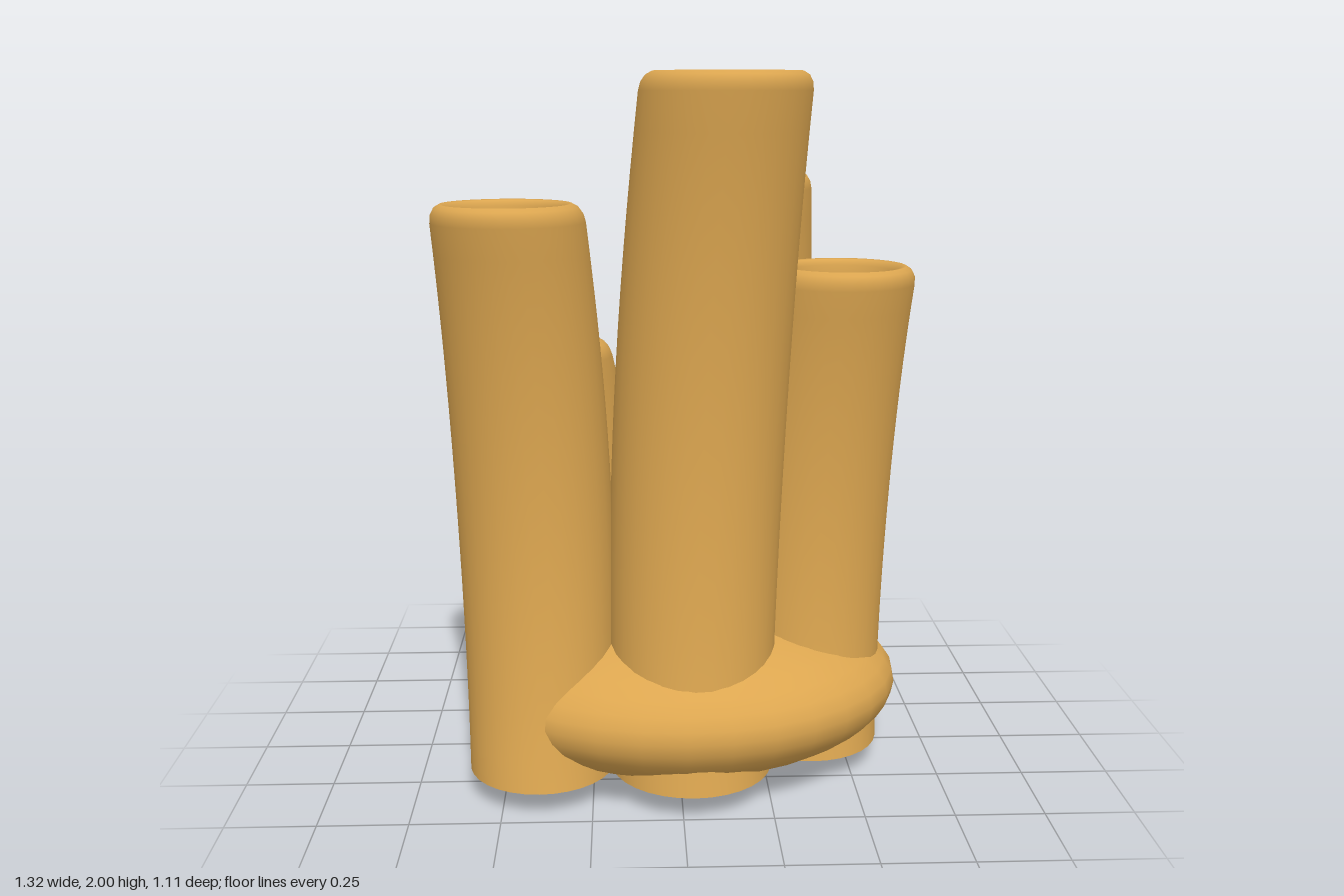
import * as THREE from 'three';
import { mergeVertices } from 'three/addons/utils/BufferGeometryUtils.js';

const FLOOR = 0.07; // height of the flat tube bottoms

// Each tube: height, radius, and its centre [x, z] at bottom, middle and top
const TUBES = [
  { name: 'frontTallTube', top: 2.0, r: 0.228, path: [[0.03, 0.285], [0.055, 0.185], [0.12, 0.29]] },
  { name: 'frontRightTube', top: 1.66, r: 0.206, path: [[-0.395, 0.27], [-0.412, 0.17], [-0.462, 0.27]] },
  { name: 'backLeftTube', top: 1.715, r: 0.2, path: [[0.23, -0.245], [0.226, -0.342], [0.21, -0.247]] },
  { name: 'sideLeftTube', top: 1.475, r: 0.209, path: [[0.38, 0.09], [0.397, 0.02], [0.457, 0.105]] },
  { name: 'backRightTube', top: 1.21, r: 0.186, path: [[-0.295, -0.24], [-0.31, -0.325], [-0.385, -0.245]] },
];

// Centre of a bent tube: a parabola through its three path points
function centreAt(path, t) {
  const a = 2 * (t - 0.5) * (t - 1), b = 4 * t * (1 - t), c = 2 * t * (t - 0.5);
  return [0, 1].map((k) => a * path[0][k] + b * path[1][k] + c * path[2][k]);
}

// Lathe a profile, then shift every level sideways along the bent path
function bentLathe(profile, tube) {
  let geo = new THREE.LatheGeometry(profile.map(([r, y]) => new THREE.Vector2(r, y)), 32);
  const pos = geo.attributes.position;
  for (let i = 0; i < pos.count; i++) {
    const t = (pos.getY(i) - FLOOR) / (tube.top - FLOOR);
    const [x, z] = centreAt(tube.path, t);
    pos.setX(i, pos.getX(i) + x);
    pos.setZ(i, pos.getZ(i) + z);
  }
  geo.deleteAttribute('normal');
  geo.deleteAttribute('uv');
  geo = mergeVertices(geo);
  geo.computeVertexNormals();
  return geo;
}

function makeTube(tube, skin, inside) {
  const { top, r } = tube;
  const length = top - FLOOR;
  const group = new THREE.Group();
  group.name = tube.name;
  const add = (name, profile, material) => {
    const mesh = new THREE.Mesh(bentLathe(profile, tube), material);
    mesh.name = name;
    group.add(mesh);
  };

  // Outer wall, slightly fuller in the middle, rolling over the rounded lip
  const wall = [];
  const steps = 18, shoulder = top - 0.05;
  for (let i = 0; i <= steps; i++) {
    const t = i / steps;
    wall.push([r * (1 + 0.06 * Math.sin(Math.PI * t)), FLOOR + t * (shoulder - FLOOR)]);
  }
  const throat = [0.67 * r, top - 0.06];
  wall.push([r - 0.004, top - 0.028], [r - 0.015, top - 0.01], [r - 0.032, top],
    [0.79 * r, top - 0.002], [0.72 * r, top - 0.018], throat);
  add('outerWall', wall, skin);

  // Flat underside
  add('bottomCap', [[0, FLOOR], [r, FLOOR]], skin);

  // Dark bore with its floor
  const bore = [];
  const boreFloor = FLOOR + 0.24 * length;
  for (let i = 0; i <= 12; i++) {
    bore.push([throat[0], throat[1] + (boreFloor - throat[1]) * i / 12]);
  }
  add('bore', bore, inside);
  add('boreFloor', [[throat[0], boreFloor], [0, boreFloor]], inside);
  return group;
}

// Rounded mound joining the tubes, a little deeper below than above
function makeBase(skin) {
  const geo = new THREE.SphereGeometry(1, 32, 20);
  const pos = geo.attributes.position;
  for (let i = 0; i < pos.count; i++) {
    const y = pos.getY(i);
    pos.setXYZ(i, 0.01 + 0.64 * pos.getX(i), 0.24 + y * (y > 0 ? 0.225 : 0.24), 0.022 + 0.53 * pos.getZ(i));
  }
  geo.deleteAttribute('normal');
  geo.deleteAttribute('uv');
  const smooth = mergeVertices(geo);
  smooth.computeVertexNormals();
  const mesh = new THREE.Mesh(smooth, skin);
  mesh.name = 'base';
  return mesh;
}

export function createModel() {
  const skin = new THREE.MeshStandardMaterial({ color: 0xdca650 });
  skin.name = 'ochre';
  const inside = new THREE.MeshStandardMaterial({ color: 0x8a4f27 });
  inside.name = 'dark brown';

  const model = new THREE.Group();
  model.name = 'tubeCluster';
  model.add(makeBase(skin));
  for (const tube of TUBES) model.add(makeTube(tube, skin, inside));
  return model;
}
